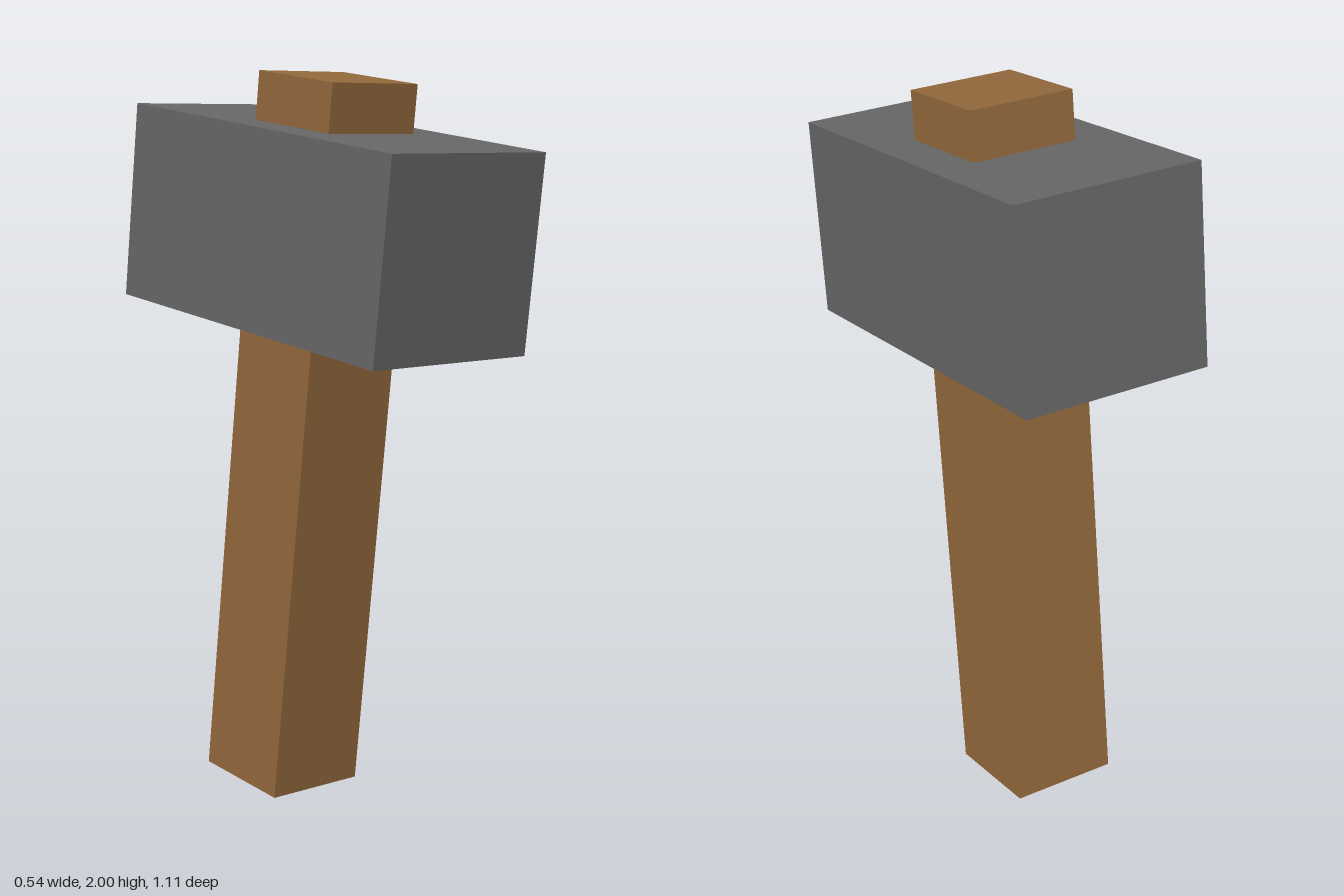
import * as THREE from 'three';

export function createModel() {
  const wood = new THREE.MeshStandardMaterial({ name: 'wood', color: 0x93693c });
  const iron = new THREE.MeshStandardMaterial({ name: 'darkGrey', color: 0x676767 });

  const hammer = new THREE.Group();
  hammer.name = 'hammer';

  function addBox(name, width, height, depth, y, material) {
    const mesh = new THREE.Mesh(new THREE.BoxGeometry(width, height, depth), material);
    mesh.name = name;
    mesh.position.y = y;
    hammer.add(mesh);
  }

  // Handle runs through the head and pokes out on top
  addBox('handle', 0.3, 1.978, 0.3, 0, wood);
  addBox('head', 0.54, 0.538, 1.05, 0.588, iron);

  // The whole hammer leans forward
  hammer.rotation.x = Math.atan(0.125);
  hammer.position.set(0, 1, -0.072);

  const model = new THREE.Group();
  model.name = 'model';
  model.add(hammer);
  return model;
}
